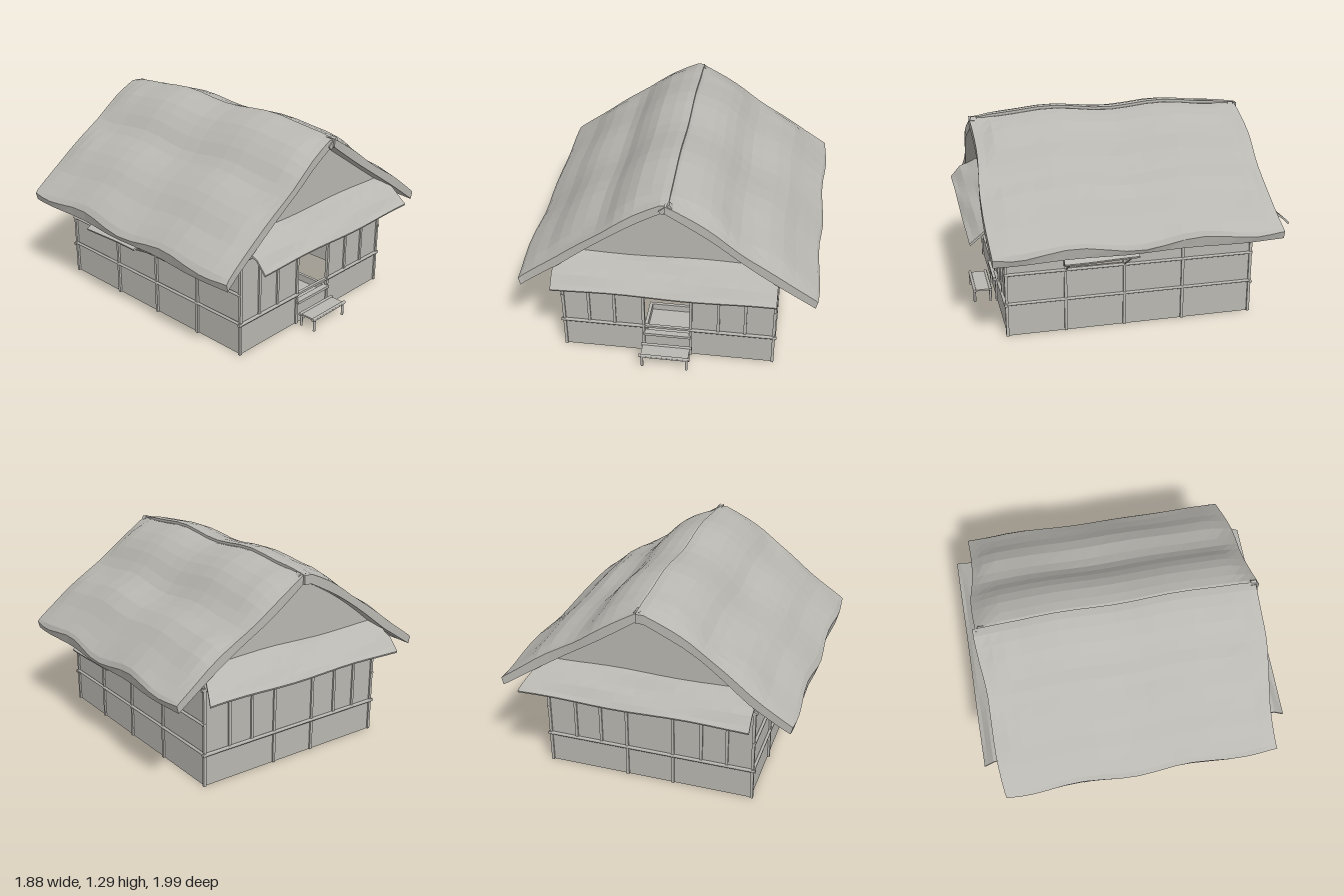
import * as THREE from 'three';

export function createModel() {
  const house = new THREE.Group();
  const clay = new THREE.MeshStandardMaterial({ color: 0xb9b7b1 });

  const add = (name, geo, parent = house) => {
    const m = new THREE.Mesh(geo, clay);
    m.name = name;
    parent.add(m);
    return m;
  };
  const group = (name) => {
    const g = new THREE.Group();
    g.name = name;
    house.add(g);
    return g;
  };
  // box given by its minimum and maximum corners
  const box = (name, x0, x1, y0, y1, z0, z1, parent) => {
    const m = add(name, new THREE.BoxGeometry(x1 - x0, y1 - y0, z1 - z0), parent);
    m.position.set((x0 + x1) / 2, (y0 + y1) / 2, (z0 + z1) / 2);
    return m;
  };
  const rod = (name, a, b, r, parent) => {
    const p = new THREE.Vector3(...a), q = new THREE.Vector3(...b);
    const m = add(name, new THREE.CylinderGeometry(r, r, p.distanceTo(q), 6), parent);
    m.position.copy(p).add(q).multiplyScalar(0.5);
    m.quaternion.setFromUnitVectors(new THREE.Vector3(0, 1, 0), q.sub(p).normalize());
    return m;
  };
  // flat-faced skin over matching closed loops, with a strip cap on each end;
  // each loop is n top points followed by the n bottom points in reverse
  const loft = (loops) => {
    const pos = [], idx = [], L = loops[0].length;
    loops.forEach((loop) => loop.forEach((p) => pos.push(...p)));
    const quad = (a, b, c, d) => idx.push(a, b, c, a, c, d);
    for (let k = 0; k < loops.length - 1; k++)
      for (let i = 0; i < L; i++) {
        const j = (i + 1) % L;
        quad(k * L + i, (k + 1) * L + i, (k + 1) * L + j, k * L + j);
      }
    const e = (loops.length - 1) * L;
    for (let i = 0; i < L / 2 - 1; i++) {
      quad(i, i + 1, L - 2 - i, L - 1 - i);
      quad(e + i, e + L - 1 - i, e + L - 2 - i, e + i + 1);
    }
    const g = new THREE.BufferGeometry();
    g.setAttribute('position', new THREE.Float32BufferAttribute(pos, 3));
    g.setIndex(idx);
    const flat = g.toNonIndexed();
    flat.computeVertexNormals();
    return flat;
  };

  // walls: thin extruded outlines with openings
  const wall = (name, outline, hole) => {
    const s = new THREE.Shape(outline.map((p) => new THREE.Vector2(...p)));
    if (hole) {
      const [x0, x1, y0, y1] = hole;
      s.holes.push(new THREE.Path([[x0, y0], [x0, y1], [x1, y1], [x1, y0]].map((p) => new THREE.Vector2(...p))));
    }
    return add(name, new THREE.ExtrudeGeometry(s, { depth: 0.012, bevelEnabled: false }));
  };
  const gable = [[-0.675, 0], [0.665, 0], [0.665, 0.76], [0, 1.2], [-0.2, 1.095], [-0.4, 0.968], [-0.675, 0.76]];
  wall('frontWall', gable, [-0.155, 0.135, 0.16, 0.62]).position.z = 0.775;
  wall('backWall', gable).position.z = -0.787;
  const side = [[-0.787, 0], [0.787, 0], [0.787, 0.76], [-0.787, 0.76]];
  // the outline's horizontal axis becomes -z
  const leftWall = wall('leftWall', side, [-0.41, -0.055, 0.42, 0.61]);
  leftWall.rotation.y = Math.PI / 2;
  leftWall.position.x = 0.653;
  const rightWall = wall('rightWall', side, [-0.035, 0.325, 0.42, 0.61]);
  rightWall.rotation.y = Math.PI / 2;
  rightWall.position.x = -0.675;

  // ground panel facing down
  add('floorPanel', new THREE.PlaneGeometry(1.34, 1.574).rotateX(Math.PI / 2)).position.set(-0.005, 0.001, 0);

  // timber frame
  const frame = group('timberFrame');
  const w = 0.009;
  for (const s of [-1, 1]) {
    const z = s * 0.788;
    const posts = [-0.68, -0.515, -0.35, -0.165, 0.14, 0.315, 0.485, 0.667];
    posts.forEach((x, i) => {
      const low = i % 7 === 0 || i === 3 || i === 4 ? 0 : 0.21;
      box('gablePost', x - w, x + w, low, 0.64, z - w, z + w, frame);
    });
    if (s > 0) {
      rod('frontRailRight', [-0.7, 0.21, z + 0.006], [-0.155, 0.21, z + 0.006], 0.011, frame);
      rod('frontRailLeft', [0.135, 0.21, z + 0.006], [0.685, 0.21, z + 0.006], 0.011, frame);
    } else rod('backRail', [-0.7, 0.21, z - 0.006], [0.685, 0.21, z - 0.006], 0.011, frame);
    rod('gableTopRail', [-0.7, 0.63, z], [0.685, 0.63, z], 0.01, frame);

    const x = s > 0 ? 0.667 : -0.68;
    for (const pz of [0.42, 0.045, -0.335]) box('sidePost', x - w, x + w, 0, 0.7, pz - w, pz + w, frame);
    for (const y of [0.215, 0.41]) rod('sideRail', [x + s * 0.005, y, -0.8], [x + s * 0.005, y, 0.8], 0.01, frame);
  }

  // sunken entry inside the doorway
  const entry = group('entry');
  box('entryFloor', -0.16, 0.14, 0.1, 0.115, 0.52, 0.775, entry);
  box('entryBackRim', -0.16, 0.14, 0.115, 0.16, 0.5, 0.52, entry);
  for (const x of [-0.17, 0.13]) box('entrySideRim', x, x + 0.02, 0.1, 0.16, 0.5, 0.775, entry);
  box('doorSill', -0.165, 0.14, 0.145, 0.163, 0.77, 0.81, entry);
  box('doorThreshold', -0.165, 0.14, 0.2, 0.215, 0.775, 0.795, entry);

  // step bench before the door
  const bench = group('bench');
  box('benchTop', -0.165, 0.14, 0.078, 0.088, 0.82, 0.945, bench);
  for (const z of [0.83, 0.935]) {
    rod('benchRail', [-0.175, 0.085, z], [0.15, 0.085, z], 0.011, bench);
    for (const x of [-0.155, 0.13]) rod('benchLeg', [x, 0, z], [x, 0.085, z], 0.009, bench);
  }

  // thatched roof: swollen between the gable ends, thin and straighter at the edges
  const under = (x) => 1.19 - 0.66 * Math.abs(x) + (x < 0 ? 0.035 * Math.sin(Math.PI * Math.min(-x / 0.66, 1)) : 0);
  const smooth = THREE.MathUtils.smoothstep;
  const zSteps = [-0.89, -0.86, -0.8, -0.72, -0.62, -0.5, -0.38, -0.26, -0.14, -0.02, 0.1, 0.22, 0.34, 0.46, 0.58, 0.7, 0.78, 0.85, 0.9];
  const slopes = {
    leftRoof: [[0.0, 1.26], [0.04, 1.265], [0.1, 1.25], [0.18, 1.22], [0.25, 1.175], [0.31, 1.12], [0.37, 1.05], [0.43, 0.995], [0.5, 0.96], [0.6, 0.925], [0.69, 0.865], [0.77, 0.785], [0.85, 0.715], [0.91, 0.665], [0.925, 0.635]],
    rightRoof: [[0.02, 1.28], [-0.03, 1.28], [-0.1, 1.265], [-0.19, 1.23], [-0.25, 1.185], [-0.31, 1.13], [-0.37, 1.06], [-0.43, 1.015], [-0.52, 0.975], [-0.6, 0.93], [-0.67, 0.875], [-0.75, 0.795], [-0.83, 0.735], [-0.9, 0.675], [-0.925, 0.64]],
  };
  for (const [name, profile] of Object.entries(slopes)) {
    const s = name === 'leftRoof' ? 1 : -1;
    const loops = zSteps.map((z) => {
      const full = 0.15 + 0.85 * smooth(0.92 - Math.abs(z), 0.0, 0.2);
      const top = [], bottom = [];
      profile.forEach(([x, y], i) => {
        const t = i / (profile.length - 1);
        const sway = t * (s > 0 ? -0.012 * z : 0) + 0.01 * t * Math.sin(9 * z + s);
        const wave = 0.015 * Math.cos(8.5 * (z - 0.38)) - 0.008 + 0.008 * Math.sin(6 * z + 11 * t) * t;
        const droop = -0.015 * z * t;
        const base = under(x), px = x + sway;
        const edge = base + 0.05;
        const zz = z + (Math.abs(z) > 0.84 ? 0.01 * Math.sin(9 * t + 2 * s) : 0);
        top.push([px, edge + (y - edge) * full + wave * full + droop, zz]);
        bottom.push([px - s * 0.012 * t, base + droop, zz]);
      });
      return [...top, ...bottom.reverse()];
    });
    add(name, loft(s > 0 ? loops : loops.reverse()));
  }

  // tied ends of the ridge
  for (const z of [-0.85, 0.88]) {
    const knot = box('ridgeKnot', -0.04, 0.04, -0.015, 0.015, -0.018, 0.018);
    knot.position.set(0.005, 1.21, z);
    knot.rotation.z = 0.65;
  }

  // thatched sheet falling outward: path gives [outward, height], swept along
  const sheet = (path, a, b, steps, thick, place) => {
    const loops = [];
    for (let k = 0; k <= steps; k++) {
      const v = a + ((b - a) * k) / steps;
      const wavy = path.map(([o, y], i) => [o, y + 0.006 * Math.sin(7 * v + 2 * i)]);
      const top = wavy.map(([o, y]) => place(o, y, v));
      const low = wavy.map(([o, y]) => place(o - thick * 0.4, y - thick, v));
      loops.push([...top, ...low.reverse()]);
    }
    return loft(loops);
  };

  // skirts under both gables; the back one widens downward on the left
  const skirt = [[0.785, 0.785], [0.83, 0.765], [0.88, 0.725], [0.93, 0.695], [0.97, 0.655], [0.997, 0.63]];
  add('frontSkirt', sheet(skirt, 0.675, -0.695, 12, 0.012, (o, y, v) => [v, y, o]));
  add('backSkirt', sheet(skirt, -0.695, 0.77, 12, 0.012, (o, y, v) => [v > 0 ? v * (1 - 0.6 * (0.997 - o)) : v, y, -o]));

  // window awnings held up by slanted props
  const awning = (name, s, wallX, z0, z1) => {
    const g = group(name);
    const reach = s > 0 ? 0.205 : 0.215;
    const path = [[0, 0.64], [0.06, 0.625], [0.12, 0.59], [0.17, 0.555], [reach, 0.535]];
    const [a, b] = s > 0 ? [z0, z1] : [z1, z0];
    add('awningSheet', sheet(path, a, b, 6, 0.012, (o, y, v) => [wallX + s * o, y, v]), g);
    for (const z of [z0 + 0.045, z1 - 0.045])
      rod('awningProp', [wallX, 0.41, z], [wallX + s * (reach - 0.015), 0.53, z], 0.005, g);
  };
  awning('leftAwning', 1, 0.667, 0.0, 0.46);
  awning('rightAwning', -1, -0.68, -0.38, 0.08);

  return house;
}
